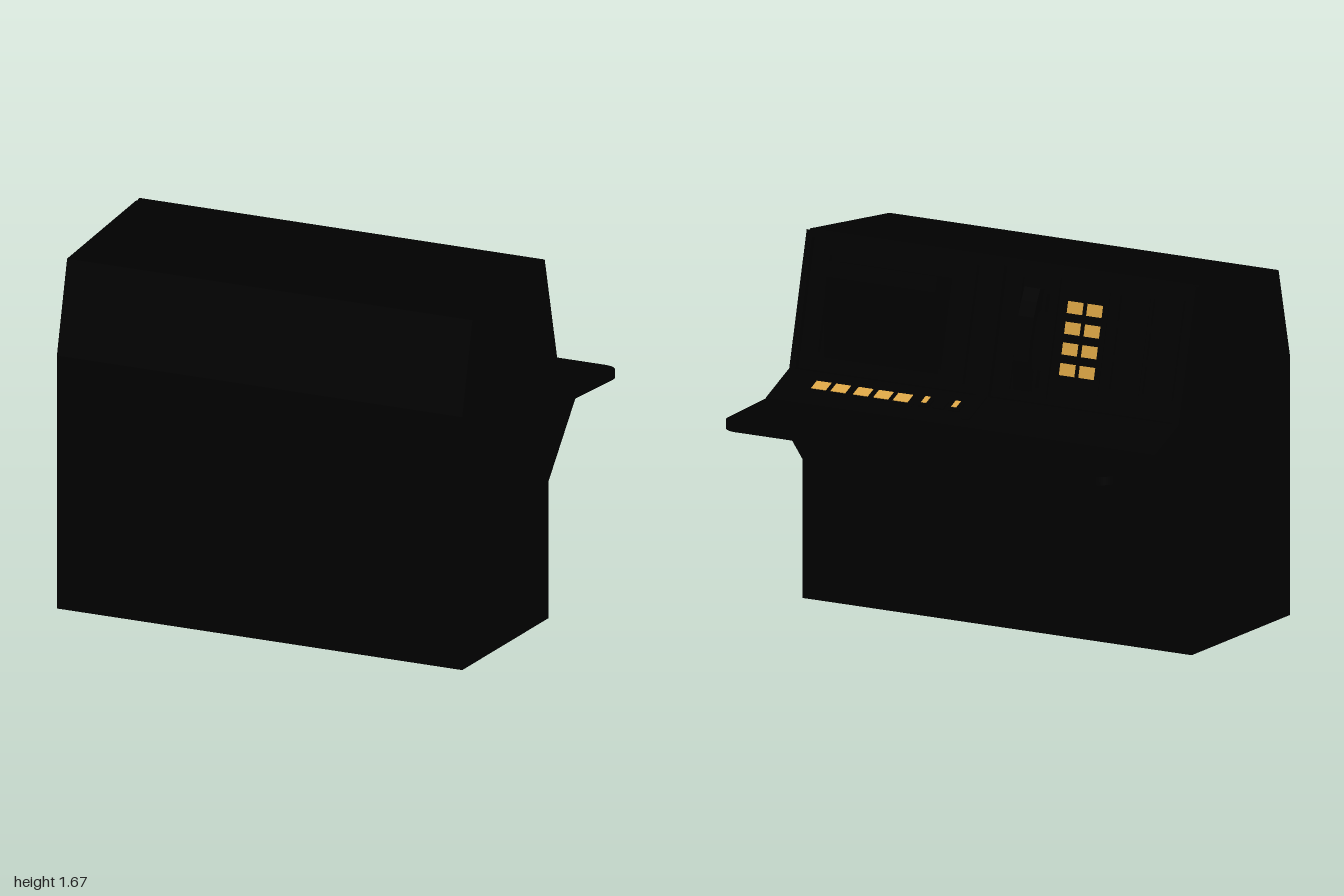
import * as THREE from 'three';

const mat = (name, color) => {
  const m = new THREE.MeshStandardMaterial({ color });
  m.name = name;
  return m;
};

export function createModel() {
  const black = mat('casing black', 0x000000);
  const amber = mat('button amber', 0xdca646);
  const model = new THREE.Group();
  model.name = 'console';

  const add = (parent, name, geometry, material) => {
    const mesh = new THREE.Mesh(geometry, material);
    mesh.name = name;
    parent.add(mesh);
    return mesh;
  };
  // Side profile given as [z, y] points, swept along x and centred
  const sweep = (points, width) => {
    const shape = new THREE.Shape(points.map(([z, y]) => new THREE.Vector2(z, y)));
    return new THREE.ExtrudeGeometry(shape, { depth: width, bevelEnabled: false })
      .rotateY(-Math.PI / 2).translate(width / 2, 0, 0);
  };
  // Block on a tilted panel: top surface at height "out", reaching "depth" inward
  const block = (parent, name, x, v, w, h, out, depth, material = black) =>
    add(parent, name, new THREE.BoxGeometry(w, h, depth), material)
      .position.set(x, v, -out + depth / 2);
  // Rectangular frame on a tilted panel
  const frame = (parent, name, x, v, w, h, t, out, depth) => {
    for (const s of [-1, 1]) {
      block(parent, name, x + s * (w - t) / 2, v, t, h, out, depth);
      block(parent, name, x, v + s * (h - t) / 2, w - 2 * t, t, out, depth);
    }
  };
  // Black key with a thin amber cap
  const key = (parent, name, x, v, w, h, out) => {
    block(parent, name, x, v, w, h, out, 0.022);
    block(parent, name + 'Cap', x, v, w, h, out + 0.003, 0.003, amber);
  };

  // Cabinet with the operator face set in slightly
  add(model, 'cabinet', sweep([
    [0.78, 0], [0.78, 1.17], [0.68, 1.59], [0, 1.667], [-0.15, 1.07], [-0.18, 1.07],
    [-0.38, 0.98], [-0.33, 0.94], [-0.065, 0.63], [-0.065, 0],
  ], 2), black);

  // Desk with two rounded outer corners
  const top = new THREE.Shape();
  const len = 0.451, r = 0.08;
  top.moveTo(-1, 0);
  top.lineTo(1, 0);
  top.lineTo(1, len - r);
  top.absarc(1 - r, len - r, r, 0, Math.PI / 2);
  top.absarc(-1 + r, len - r, r, Math.PI / 2, Math.PI);
  const desk = add(model, 'desk', new THREE.ExtrudeGeometry(top,
    { depth: 0.038, bevelEnabled: false, curveSegments: 8 }).rotateX(-Math.PI / 2), black);
  desk.position.set(0, 0.941, -0.33);
  desk.rotation.x = -0.047;

  // Upper instrument panel: local y runs up the panel, -z points out of it
  const panel = new THREE.Group();
  panel.name = 'instrumentPanel';
  panel.position.set(0, 1.07, -0.18);
  panel.rotation.x = Math.atan(0.25);
  model.add(panel);
  for (const x of [-0.985, 0.985]) block(panel, 'sideRim', x, 0.309, 0.03, 0.618, 0, 0.035);
  block(panel, 'topRim', 0, 0.603, 1.94, 0.03, 0, 0.035);
  block(panel, 'centreDivider', 0.01, 0.294, 0.06, 0.588, 0, 0.035);

  // Monitor with a bulging picture tube
  frame(panel, 'monitorBezel', 0.52, 0.305, 0.8, 0.53, 0.05, -0.005, 0.03);
  add(panel, 'pictureTube', sweep([
    [0.03, 0.07], [-0.036, 0.07], [-0.058, 0.14], [-0.075, 0.218], [-0.092, 0.295],
    [-0.103, 0.366], [-0.109, 0.43], [-0.109, 0.498], [0.03, 0.498],
  ], 0.56), black).position.x = 0.53;

  // Telephone cradle and curved handset
  frame(panel, 'phoneCradle', -0.2, 0.3, 0.21, 0.54, 0.02, -0.012, 0.02);
  for (const v of [0.11, 0.45]) block(panel, 'cradleRest', -0.2, v, 0.11, 0.08, 0.005, 0.035);
  add(panel, 'handset', sweep([
    [0, 0.053], [-0.034, 0.053], [-0.048, 0.12], [-0.062, 0.18], [-0.07, 0.28],
    [-0.066, 0.38], [-0.055, 0.45], [-0.04, 0.51], [0, 0.51], [0, 0.42],
    [-0.03, 0.4], [-0.04, 0.34], [-0.042, 0.28], [-0.038, 0.2], [-0.028, 0.16], [0, 0.14],
  ], 0.08), black).position.x = -0.2;

  // Keypad: two columns of four
  block(panel, 'keypadPlate', -0.45, 0.305, 0.22, 0.46, -0.02, 0.015);
  for (const x of [-0.5, -0.4])
    for (let i = 0; i < 4; i++) key(panel, 'keypadButton', x, 0.17 + i * 0.092, 0.078, 0.054, -0.01);

  // Bank of six recessed windows
  for (const x of [-0.86, -0.69])
    for (let i = 0; i < 3; i++)
      frame(panel, 'windowFrame', x, 0.175 + i * 0.15, 0.165, 0.145, 0.012, -0.01, 0.025);

  // Sloping control strip between panel and desk
  const strip = new THREE.Group();
  strip.name = 'controlStrip';
  strip.position.set(0, 0.98, -0.38);
  strip.rotation.x = Math.atan2(0.2, 0.09);
  model.add(strip);
  block(strip, 'stripDivider', 0, 0.13, 0.04, 0.17, 0.008, 0.02);
  block(strip, 'buttonTray', 0.565, 0.116, 0.54, 0.075, 0.003, 0.01);
  for (const x of [0.355, 0.455, 0.56, 0.675, 0.775])
    key(strip, 'stripButton', x, 0.116, 0.075, 0.055, 0.014);
  for (const x of [0.085, 0.165, 0.24]) block(strip, 'switchBase', x, 0.116, 0.055, 0.055, 0.01, 0.02);
  for (const x of [0.088, 0.243]) key(strip, 'switchLamp', x, 0.126, 0.025, 0.045, 0.014);
  return model;
}
